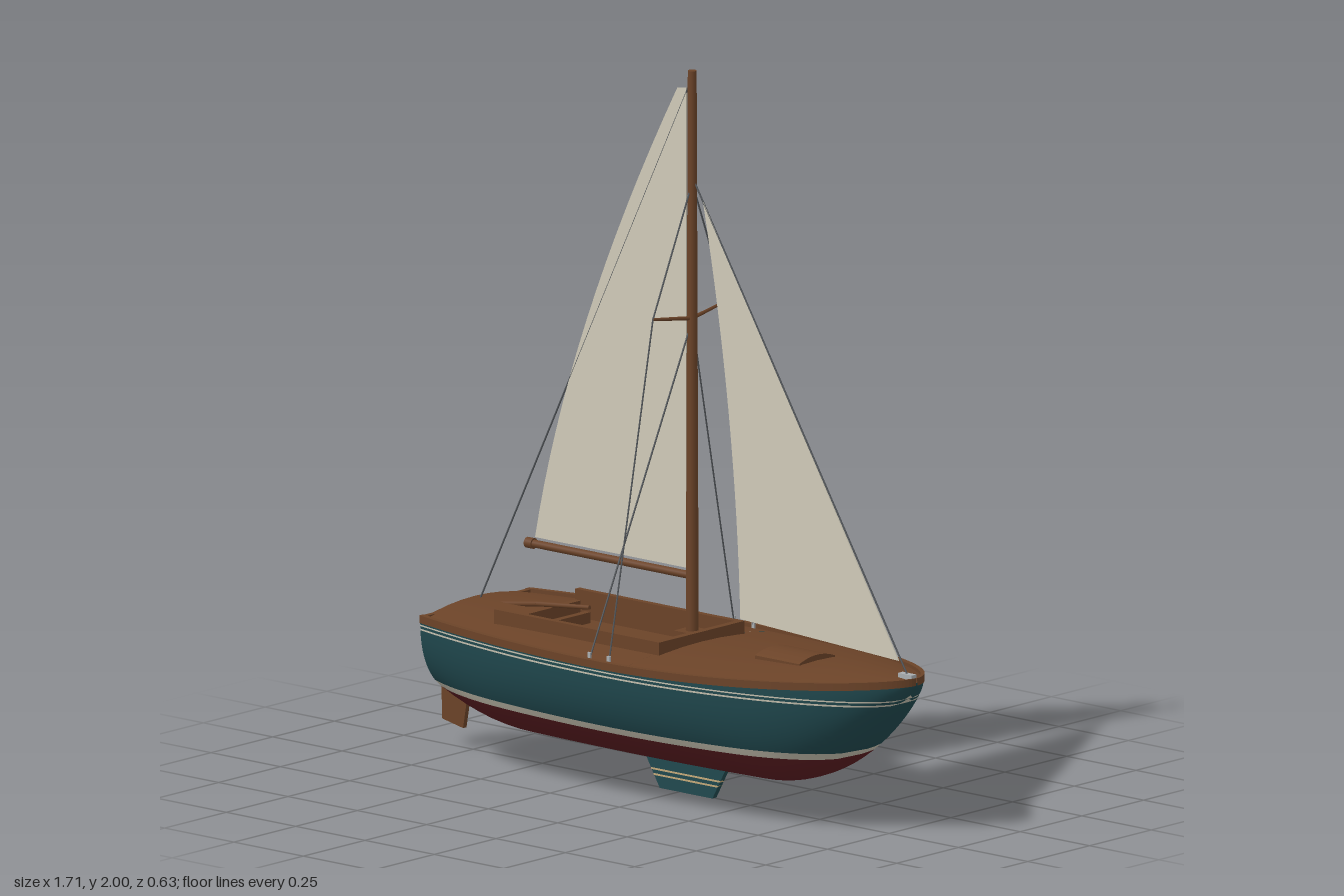
import * as THREE from 'three';

const mat = (name, color) => new THREE.MeshStandardMaterial({ name, color, side: THREE.DoubleSide });
const V = (x, y, z) => new THREE.Vector3(x, y, z);

// Hull lines: half beam, keel line, sheer line and cross-section as functions of x
const STERN = -0.745, BOW = 0.85;
const beam = x => x < -0.02
  ? 0.31 - 0.09 * ((-0.02 - x) / 0.725) ** 2
  : 0.31 * Math.max(0, 1 - ((x + 0.02) / 0.87) ** 2) ** 0.6;
const keelLine = x => x < -0.45 ? 0.1 + 0.063 * ((-0.45 - x) / 0.295) ** 2
  : x > 0.39 ? 0.1 + 0.325 * ((x - 0.39) / 0.46) ** 2 : 0.1;
const sheer = x => x > -0.1 ? 0.397 + 0.035 * ((x + 0.1) / 0.95) ** 2 : 0.397;
const halfWidth = (x, y) => {
  const t = Math.min(1, Math.max(0, (sheer(x) - y) / (sheer(x) - keelLine(x))));
  return beam(x) * (1 - t ** 2.3) ** (1 / 2.3);
};
const deckY = (x, z) => {
  const b = beam(x);
  return sheer(x) + 0.028 * Math.min(1, b / 0.2) * (1 - (b > 0 ? Math.min(1, (z / b) ** 2) : 1));
};

// Stations from x0 to x1, closer together towards x1
const stations = (x0, x1, n) => Array.from({ length: n + 1 }, (_, i) => x0 + (x1 - x0) * Math.sin(i / n * Math.PI / 2));

// Surface through rows of points
function loft(rows) {
  const n = rows[0].length, index = [];
  for (let i = 0; i < rows.length - 1; i++) for (let j = 0; j < n - 1; j++) {
    const a = i * n + j, b = a + n;
    index.push(a, b, a + 1, b, b + 1, a + 1);
  }
  const g = new THREE.BufferGeometry().setFromPoints(rows.flat());
  g.setIndex(index);
  g.computeVertexNormals();
  return g;
}

// Thin plate cut from an outline in the x-y plane
function plate(shape, thickness) {
  const g = new THREE.ExtrudeGeometry(shape, { depth: thickness, bevelEnabled: false, curveSegments: 16 });
  return g.translate(0, 0, -thickness / 2);
}
const polygon = pts => new THREE.Shape(pts.map(p => new THREE.Vector2(...p)));

// Round bar between two points
function rod(a, b, r0, r1 = r0, sides = 6) {
  const d = b.clone().sub(a);
  const g = new THREE.CylinderGeometry(r1, r0, d.length(), sides);
  g.applyQuaternion(new THREE.Quaternion().setFromUnitVectors(V(0, 1, 0), d.normalize()));
  return g.translate(...a.clone().add(b).multiplyScalar(0.5).toArray());
}

// Box given by its extents
const box = (x0, x1, y0, y1, z0, z1) => new THREE.BoxGeometry(x1 - x0, y1 - y0, z1 - z0)
  .translate((x0 + x1) / 2, (y0 + y1) / 2, (z0 + z1) / 2);

export function createModel() {
  const model = new THREE.Group();
  model.name = 'sailboat';
  const teal = mat('teal paint', 0x20484e), red = mat('red bottom paint', 0x5a1c20);
  const cream = mat('cream stripe', 0xc4bfae), wood = mat('brown wood', 0x6b4328);
  const cloth = mat('sail cloth', 0xcfcab8), wire = mat('grey wire', 0x54585c);
  const metal = mat('pale metal', 0xa9adb0), tan = mat('tan stripe', 0xc2a878);
  const add = (name, geometry, material) => {
    const m = new THREE.Mesh(geometry, material);
    m.name = name;
    model.add(m);
    return m;
  };

  // Hull painted in horizontal bands
  const xs = stations(STERN, BOW, 56);
  function band(name, lo, hi, material) {
    const limits = x => {
      const k = keelLine(x), s = sheer(x);
      return [Math.min(s, Math.max(lo, k)), Math.min(s, Math.max(hi, k))];
    };
    const n = hi - lo > 0.05 ? 14 : 2;
    const row = (x, side) => Array.from({ length: n + 1 }, (_, j) => {
      const [a, b] = limits(x), y = a + (b - a) * (j / n) ** 1.8;
      return V(x, y, side * halfWidth(x, y));
    });
    for (const side of [1, -1])
      add(name, loft(xs.map(x => side > 0 ? row(x, 1) : row(x, -1).reverse())), material);
    add(name + 'Transom', loft([row(STERN, 1), row(STERN, -1)]), material);
  }
  band('bottom', 0, 0.2, red);
  band('waterline', 0.2, 0.22, cream);
  band('topsides', 0.22, 0.368, teal);
  band('lowerPinstripe', 0.368, 0.373, cream);
  band('pinstripeGap', 0.373, 0.38, teal);
  band('upperPinstripe', 0.38, 0.384, cream);
  band('sheerStrake', 0.384, 1, teal);

  // Cambered deck around the open cockpit
  const C0 = -0.5, C1 = 0.055, CW = 0.155;
  const deck = (x0, x1, n, zIn, zOut) => add('deck', loft(stations(x0, x1, n).map(x =>
    Array.from({ length: 9 }, (_, j) => {
      const z = zIn(x) + (zOut(x) - zIn(x)) * j / 8;
      return V(x, deckY(x, z), z);
    }))), wood);
  deck(STERN, C0, 6, x => -beam(x), beam);
  deck(C1, BOW, 32, x => -beam(x), beam);
  for (const s of [1, -1]) deck(C0, C1, 14, () => s * CW, x => s * beam(x));

  // Toe rail along both edges and across the stern
  for (const s of [1, -1]) add('toeRail', loft(xs.map(x => {
    const out = beam(x) + 0.003, inn = Math.max(0, out - 0.016), y = sheer(x);
    return [[y - 0.008, out], [y + 0.013, out], [y + 0.013, inn], [y, inn]].map(([h, z]) => V(x, h, s * z));
  })).toNonIndexed(), wood).geometry.computeVertexNormals();
  add('sternRail', box(STERN - 0.002, STERN + 0.014, 0.39, 0.408, -0.22, 0.22), wood);

  // Cockpit: coamings, benches, sole
  for (const s of [1, -1]) {
    const z = (a, b) => s > 0 ? [a, b] : [-b, -a];
    add('coaming', box(-0.52, 0.075, 0.29, 0.453, ...z(CW, 0.173)), wood);
    add('bench', box(-0.39, C1, 0.29, 0.375, ...z(0.055, CW)), wood);
    add('benchEdge', box(-0.39, C1, 0.375, 0.385, ...z(0.055, 0.065)), wood);
  }
  add('frontCoaming', box(C1, 0.075, 0.29, 0.453, -0.173, 0.173), wood);
  add('aftBench', box(-0.52, -0.39, 0.29, 0.375, -CW, CW), wood);
  add('aftCoaming', box(-0.52, C0, 0.36, 0.423, -CW, CW), wood);
  add('cockpitSole', box(-0.4, C1, 0.285, 0.3, -CW, CW), wood);
  add('traveller', box(-0.46, -0.44, 0.375, 0.405, -0.128, 0.128), wood);

  // Domed fore hatch
  const arch = new THREE.Shape();
  arch.moveTo(-0.072, 0.41);
  arch.lineTo(0.072, 0.41);
  arch.lineTo(0.072, 0.44);
  arch.quadraticCurveTo(0, 0.468, -0.072, 0.44);
  add('foreHatch', new THREE.ExtrudeGeometry(arch, { depth: 0.16, bevelEnabled: false })
    .rotateY(Math.PI / 2).translate(0.33, 0, 0), wood);

  // Mast, boom, spreaders
  add('mast', rod(V(0.04, 0.3, 0), V(0.04, 2, 0), 0.018, 0.012, 16), wood);
  add('mastStep', box(0.005, 0.075, 0.4, 0.452, -0.035, 0.035), wood);
  add('boom', rod(V(-0.54, 0.603, 0), V(0.03, 0.603, 0), 0.011, 0.011, 12), wood);
  add('boomEnd', rod(V(-0.555, 0.603, 0), V(-0.53, 0.603, 0), 0.015, 0.015, 12), wood);

  // Sails
  const main = new THREE.Shape();
  main.moveTo(0.02, 0.622);
  main.lineTo(0.02, 1.95);
  main.lineTo(-0.012, 1.945);
  main.quadraticCurveTo(-0.41, 1.22, -0.525, 0.622);
  add('mainsail', plate(main, 0.004), cloth);
  const jib = new THREE.Shape();
  jib.moveTo(0.08, 1.645);
  jib.quadraticCurveTo(0.2, 1.06, 0.215, 0.51);
  jib.lineTo(0.785, 0.483);
  add('jib', plate(jib, 0.004), cloth);

  // Standing rigging
  const stay = (name, a, b) => add(name, rod(a, b, 0.0025), wire);
  stay('backstay', V(0.035, 1.97, 0), V(-0.73, 0.41, 0));
  stay('forestay', V(0.05, 1.69, 0), V(0.815, 0.45, 0));
  for (const s of [1, -1]) {
    const tip = V(0.03, 1.335, s * 0.148);
    add('spreader', rod(V(0.04, 1.315, 0), tip, 0.006, 0.004), wood);
    stay('upperShroud', V(0.04, 1.69, 0), tip);
    stay('upperShroud', tip, V(0, 0.405, s * 0.293));
    stay('lowerShroud', V(0.04, 1.31, 0), V(-0.07, 0.405, s * 0.293));
    for (const x of [0, -0.07]) add('chainplate', box(x - 0.005, x + 0.005, 0.395, 0.425, s * 0.293 - 0.003, s * 0.293 + 0.003), metal);
  }
  add('bowFitting', box(0.79, 0.84, 0.435, 0.452, -0.01, 0.01), metal);
  add('sternFitting', box(-0.735, -0.685, 0.405, 0.42, -0.008, 0.008), metal);

  // Rudder and tiller
  add('rudder', plate(polygon([[-0.775, 0.39], [-0.755, 0.39], [-0.755, 0.2], [-0.78, 0.055],
    [-0.855, 0.07], [-0.86, 0.21]]), 0.014), wood);
  add('rudderHead', box(-0.78, -0.74, 0.38, 0.404, -0.011, 0.011), wood);
  add('tiller', rod(V(-0.765, 0.4, 0), V(-0.52, 0.438, 0), 0.008, 0.007, 8), wood);
  add('tillerGrip', rod(V(-0.52, 0.438, 0), V(-0.33, 0.457, 0), 0.007, 0.006, 8), wood);

  // Fin keel with thin stripes
  const fin = (y0, y1, t) => {
    const a = y => -0.07 - 0.6 * y, b = y => 0.12 + 0.55 * y;
    return plate(polygon([[a(y0), y0], [b(y0), y0], [b(y1), y1], [a(y1), y1]]), t);
  };
  add('keel', fin(0, 0.12, 0.016), teal);
  for (const y of [0.033, 0.048]) add('keelStripe', fin(y, y + 0.005, 0.018), tan);
  return model;
}
